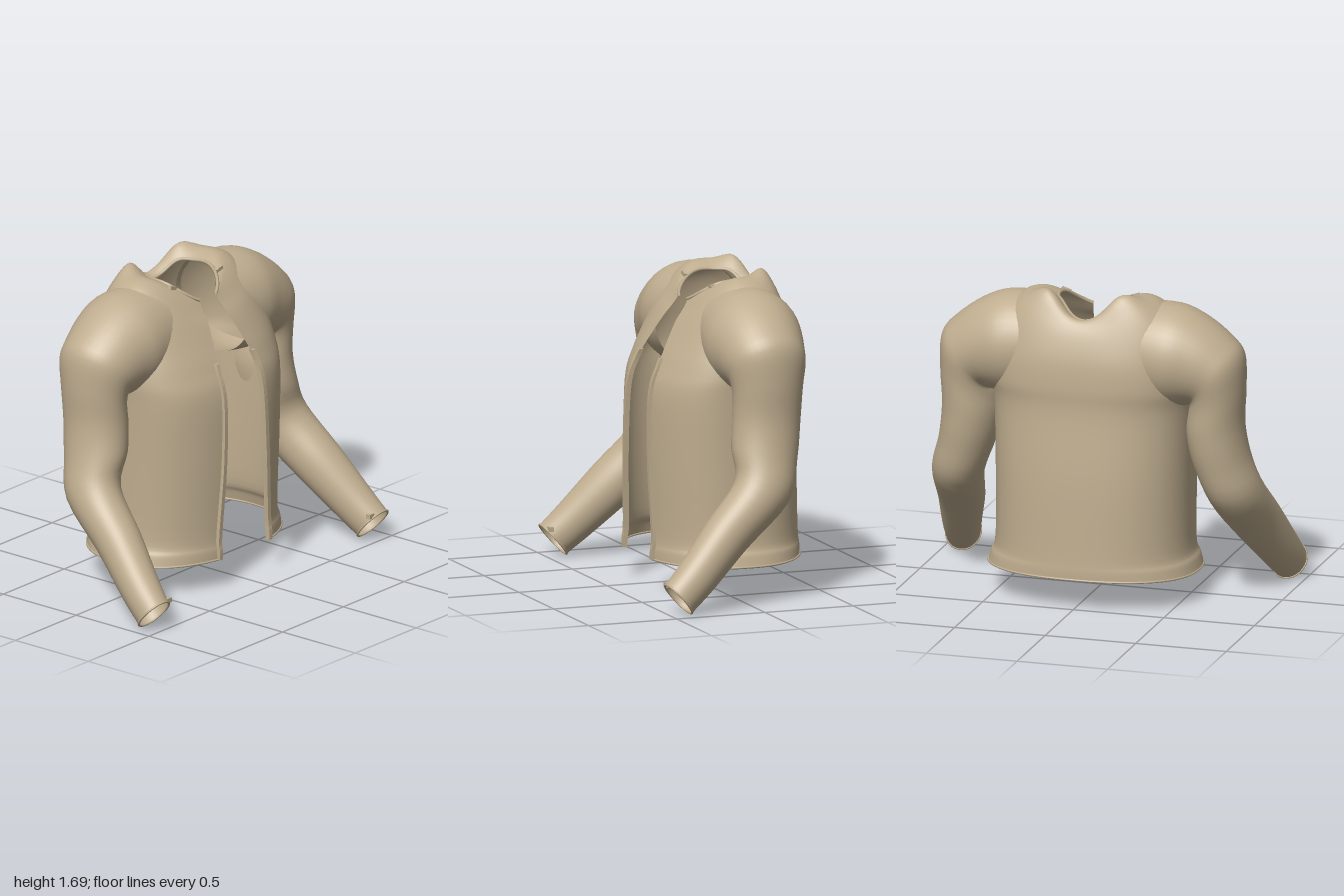
import * as THREE from 'three';

const cloth = new THREE.MeshStandardMaterial({ color: 0xbfad8f, side: THREE.DoubleSide });
cloth.name = 'tan cloth';

// Smoothly fills in k steps between rows of numbers
function smooth(rows, k) {
  const out = [];
  const last = rows.length - 1;
  for (let i = 0; i < last; i++) {
    const [p, a, b, n] = [rows[Math.max(i - 1, 0)], rows[i], rows[i + 1], rows[Math.min(i + 2, last)]];
    for (let s = 0; s < k; s++) {
      const t = s / k, t2 = t * t, t3 = t2 * t;
      out.push(a.map((v, c) =>
        v * (2 * t3 - 3 * t2 + 1) + b[c] * (3 * t2 - 2 * t3) +
        (b[c] - p[c]) / 2 * (t3 - 2 * t2 + t) + (n[c] - v) / 2 * (t3 - t2)));
    }
  }
  out.push(rows[last]);
  return out;
}

// Skins a list of rings of points
function loft(rings, closed, flip = false) {
  const n = rings[0].length, index = [];
  for (let i = 0; i < rings.length - 1; i++) {
    for (let j = 0; j < (closed ? n : n - 1); j++) {
      const k = (j + 1) % n;
      const a = i * n + j, b = i * n + k, c = a + n, d = b + n;
      if (flip) index.push(a, c, b, b, c, d);
      else index.push(a, b, c, b, d, c);
    }
  }
  const g = new THREE.BufferGeometry().setFromPoints(rings.flat());
  g.setIndex(index);
  g.computeVertexNormals();
  return g;
}

// Torso sections: half width, front z, back z, front y, side y, back y,
// half opening, squareness, raised fold beside the neck
const TORSO = [
  [0.57, 0.335, -0.52, 0.17, 0.165, 0.175, 0.19, 2.3, 0],
  [0.555, 0.335, -0.52, 0.22, 0.22, 0.22, 0.19, 2.3, 0],
  [0.53, 0.33, -0.515, 0.31, 0.31, 0.31, 0.188, 2.3, 0],
  [0.53, 0.335, -0.5, 0.7, 0.7, 0.7, 0.162, 2.4, 0],
  [0.54, 0.32, -0.47, 1.05, 1.05, 1.05, 0.148, 2.5, 0],
  [0.55, 0.265, -0.472, 1.21, 1.19, 1.2, 0.14, 2.6, 0],
  [0.53, 0.2, -0.462, 1.33, 1.35, 1.33, 0.11, 2.6, 0],
  [0.48, 0.145, -0.438, 1.42, 1.53, 1.43, 0.085, 2.4, 0.01],
  [0.38, 0.105, -0.405, 1.47, 1.635, 1.51, 0.075, 2.2, 0.045],
  [0.28, 0.085, -0.365, 1.5, 1.665, 1.555, 0.068, 2, 0.08],
  [0.19, 0.08, -0.31, 1.515, 1.63, 1.54, 0.065, 2, 0.035],
];

function torsoRing([w, zf, zb, yF, yS, yB, gap, p, fold]) {
  const ring = [], N = 72, t0 = Math.asin((gap / w) ** (p / 2));
  for (let j = 0; j <= N; j++) {
    const t = t0 + (2 * Math.PI - 2 * t0) * j / N;
    const s = Math.sin(t), c = Math.cos(t);
    const x = w * Math.sign(s) * Math.abs(s) ** (2 / p);
    const z = (zf + zb) / 2 + (zf - zb) / 2 * Math.sign(c) * Math.abs(c) ** (2 / p);
    const bump = fold * Math.exp(-(((Math.abs(t - Math.PI) - 0.78) / 0.38) ** 2));
    ring.push(new THREE.Vector3(x, yS + ((c > 0 ? yF : yB) - yS) * c * c + bump, z));
  }
  return ring;
}

// Sleeve sections: centre x y z, outward axis x y, forward axis y z
const SLEEVE = [
  [0.3, 1.36, -0.145, -0.02, 0.27, 0, 0.255],
  [0.45, 1.35, -0.145, 0.02, 0.277, 0, 0.268],
  [0.56, 1.325, -0.142, 0.055, 0.245, 0, 0.247],
  [0.645, 1.28, -0.138, 0.105, 0.19, 0, 0.225],
  [0.685, 1.23, -0.14, 0.14, 0.145, 0, 0.208],
  [0.685, 1.12, -0.14, 0.15, 0.07, 0, 0.19],
  [0.675, 0.97, -0.135, 0.152, 0.025, 0.01, 0.185],
  [0.7, 0.8, -0.115, 0.152, 0.01, 0.03, 0.178],
  [0.765, 0.61, -0.075, 0.14, 0.02, 0.065, 0.145],
  [0.815, 0.4, 0.14, 0.128, 0.02, 0.085, 0.1],
  [0.872, 0.2, 0.335, 0.108, 0.01, 0.08, 0.082],
  [0.9, 0.092, 0.45, 0.094, 0.005, 0.08, 0.068],
];

function sleeveRing([x, y, z, ux, uy, vy, vz], side) {
  return Array.from({ length: 40 }, (_, j) => {
    const a = j / 40 * Math.PI * 2, c = Math.cos(a), s = Math.sin(a);
    return new THREE.Vector3(side * (x + ux * c), y + uy * c + vy * s, z + vz * s);
  });
}

export function createModel() {
  const jacket = new THREE.Group();
  jacket.name = 'jacket';
  const add = (name, geometry) => {
    const mesh = new THREE.Mesh(geometry, cloth);
    mesh.name = name;
    jacket.add(mesh);
    return mesh;
  };
  const edging = (name, points, r, closed = false) => add(name,
    new THREE.TubeGeometry(new THREE.CatmullRomCurve3(points, closed), 90, r, 6, closed));

  // Open-fronted body with hem and neck edging
  const body = smooth(TORSO, 5).map(torsoRing);
  add('body', loft(body, false));
  edging('hem', body[0], 0.006);
  edging('neckband', body[body.length - 1], 0.01);

  for (const side of [1, -1]) {
    const label = side > 0 ? 'left' : 'right';

    // Sleeve and its cuff
    const sleeve = smooth(SLEEVE, 4).map((row) => sleeveRing(row, side));
    add(label + 'Sleeve', loft(sleeve, true, side < 0));
    edging(label + 'Cuff', sleeve[sleeve.length - 1], 0.006, true);
    const tab = add(label + 'CuffTab', new THREE.BoxGeometry(0.04, 0.025, 0.025));
    tab.position.set(side * 0.835, 0.16, 0.49);

    // Raised strip along the front edge
    const edge = body.map((ring) => ring[side > 0 ? 0 : ring.length - 1])
      .filter((p) => p.y < 1.24);
    const strip = edge.map((p) => [[0, -0.012], [0.025, -0.012], [0.025, 0.014], [0, 0.014]]
      .map(([x, z]) => new THREE.Vector3(p.x + side * x, p.y, p.z + z)));
    const cap = (ring) => {
      const mid = ring.reduce((m, p) => m.addScaledVector(p, 0.25), new THREE.Vector3());
      return ring.map(() => mid.clone());
    };
    strip.unshift(cap(strip[0]));
    strip.push(cap(strip[strip.length - 1]));
    const flat = loft(strip, true, side > 0).toNonIndexed();
    flat.computeVertexNormals();
    add(label + 'FrontStrip', flat);

    // Small gathered fold at the collar
    const fold = add(label + 'CollarFold', new THREE.BoxGeometry(0.05, 0.02, 0.02));
    fold.position.set(side * 0.19, 1.612, -0.015);
    fold.rotation.z = side * 0.3;
  }
  return jacket;
}
